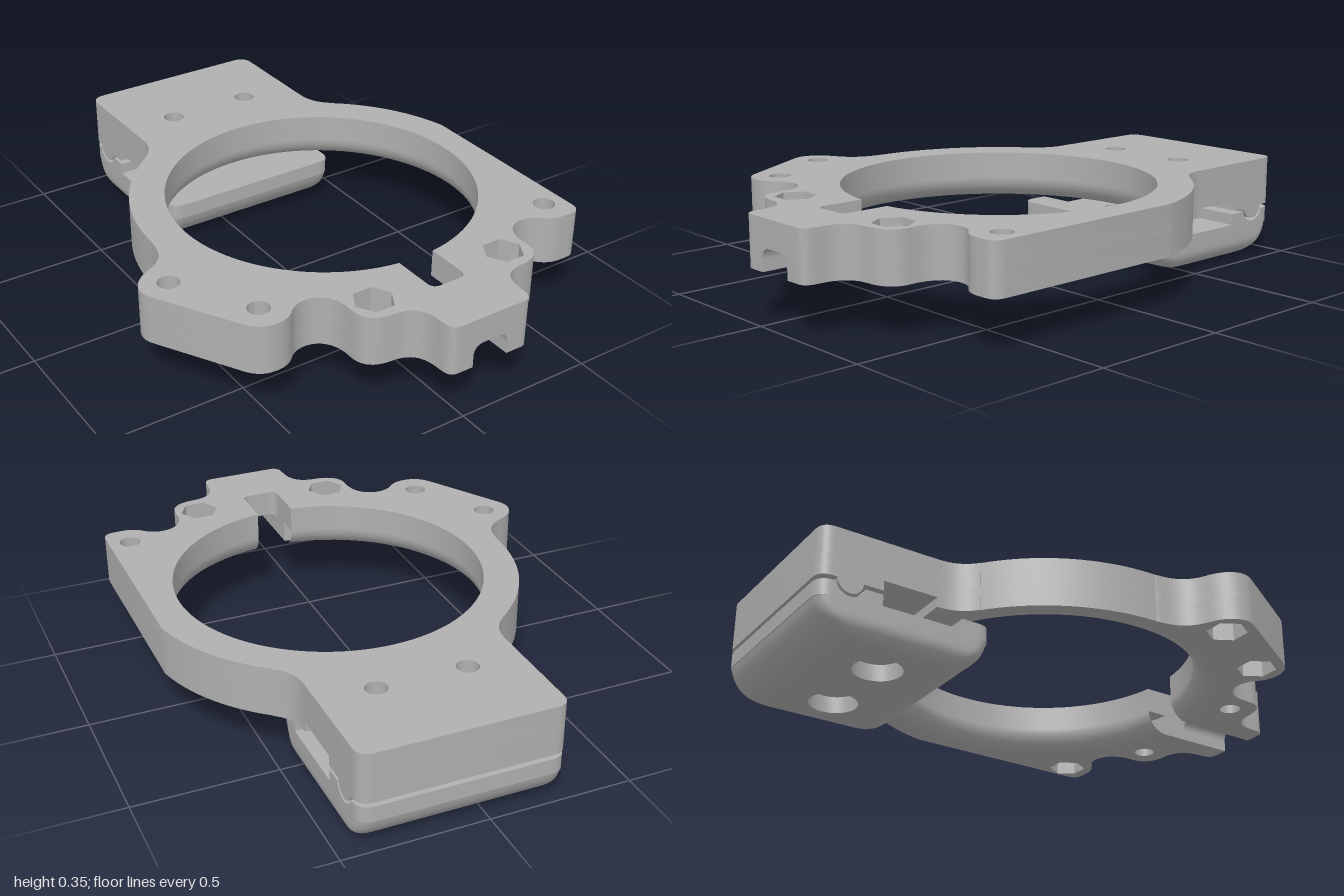
import * as THREE from 'three';
import { mergeGeometries, toCreasedNormals } from 'three/addons/utils/BufferGeometryUtils.js';
import { ParametricGeometry } from 'three/addons/geometries/ParametricGeometry.js';

const CX = 0.09, CZ = 0.075;            // ring centre
const BORE = 0.545, OUTER = 0.668, FILLET = 0.08;
const SLOT = 0.0675, SLOT_END = 0.79;
const TOP = 0.355, MID = 0.26, BASE = 0.18, CEIL = 0.215;
const HOLE = 0.038, HEX = 0.07, HALF = 0.35;
const NUT_TOP = [[-0.17, 0.74], [0.35, 0.74]];
const NUT_BASE = [[-0.65, 0.31], [-0.49, 0.585], [0.665, 0.585]];
const CLAMP = [[-0.07, -0.685], [0.245, -0.685]];

// Plan shapes are drawn in (x, z)
const trace = (draw) => { const p = new THREE.Path(); draw(p); return p.getPoints(10); };
const toSide = (pts, m) => pts.map((p) => new THREE.Vector2(CX + m * p.x, p.y));

function circle(shape, spots, r, sides = 32) {
  for (const [x, z] of spots) {
    const pts = [];
    for (let i = 0; i < sides; i++) {
      const a = (i / sides) * Math.PI * 2;
      pts.push(new THREE.Vector2(x + r * Math.cos(a), z + r * Math.sin(a)));
    }
    shape.holes.push(new THREE.Path(pts));
  }
}

const crease = (g) => toCreasedNormals(g, 0.5);

// Flat layer between two heights
function slab(shape, top, bottom) {
  const g = new THREE.ExtrudeGeometry(shape, { depth: top - bottom, bevelEnabled: false, curveSegments: 10 });
  return crease(g.rotateX(Math.PI / 2).translate(0, top, 0));
}

// Profile in (-z, y) swept across the clamp width
function sweep(shape) {
  const g = new THREE.ExtrudeGeometry(shape, { depth: HALF * 2, bevelEnabled: false, curveSegments: 16 });
  return crease(g.rotateY(Math.PI / 2).translate(CX - HALF, 0, 0));
}

// Rectangle across the clamp with rounded back (r0) and front (r1) corners
function bar(z0, z1, r0, r1, hx = HALF) {
  const s = new THREE.Shape(), a = CX - hx, b = CX + hx;
  s.moveTo(b, z0 + r0).lineTo(b, z1 - r1);
  s.quadraticCurveTo(b, z1, b - r1, z1).lineTo(a + r1, z1);
  s.quadraticCurveTo(a, z1, a, z1 - r1).lineTo(a, z0 + r0);
  s.quadraticCurveTo(a, z0, a + r0, z0).lineTo(b - r0, z0);
  s.quadraticCurveTo(b, z0, b, z0 + r0);
  return s;
}

// Ring outline from the right of the front tab, round the back, to its left
function outline(withTail) {
  const front = trace((p) => {
    p.moveTo(0.125, 1).quadraticCurveTo(0.155, 1, 0.158, 0.965);
    p.lineTo(0.16, 0.93).quadraticCurveTo(0.165, 0.842, 0.25, 0.838);
    p.quadraticCurveTo(0.35, 0.835, 0.35, 0.755).lineTo(0.35, 0.72);
    p.bezierCurveTo(0.36, 0.61, 0.46, 0.61, 0.5, 0.65);
    p.quadraticCurveTo(0.53, 0.685, 0.575, 0.685);
  });
  const rightCorner = trace((p) => {
    p.moveTo(0.61, 0.685).quadraticCurveTo(0.652, 0.685, 0.652, 0.64);
  });
  const shoulder = (end) => trace((p) => {
    if (withTail) p.moveTo(0.3, -1).quadraticCurveTo(HALF, -1, HALF, -0.95).lineTo(HALF, -0.58);
    else p.moveTo(HALF, -0.58);
    p.quadraticCurveTo(HALF, -0.5, 0.41, -0.455).absarc(0, CZ, OUTER, -0.912, end, false);
  });
  const ear = trace((p) => {
    p.moveTo(-0.579, 0.07).bezierCurveTo(-0.585, 0.16, -0.62, 0.19, -0.665, 0.212);
    p.bezierCurveTo(-0.735, 0.24, -0.77, 0.3, -0.735, 0.355);
    p.lineTo(-0.575, 0.635).quadraticCurveTo(-0.545, 0.685, -0.49, 0.685);
  });
  return [
    ...toSide(front, 1), ...toSide(rightCorner, 1), ...toSide(shoulder(-0.22), 1).reverse(),
    ...toSide(shoulder(-0.01), -1), ...ear, ...toSide(front, -1).reverse(),
  ];
}

// Bore circle, broken at the front slot
function bore(r) {
  const a = Math.asin(SLOT / r), pts = [];
  for (let i = 0; i <= 96; i++) {
    const t = Math.PI / 2 + a + (i / 96) * 2 * (Math.PI - a);
    pts.push(new THREE.Vector2(CX + r * Math.cos(t), CZ + r * Math.sin(t)));
  }
  return pts;
}

// Rounded lower edge of the bore
function boreFillet() {
  const g = new ParametricGeometry((u, v, out) => {
    const q = v * Math.PI / 2;
    const r = BORE + FILLET * (1 - Math.cos(q));
    const a = Math.asin(SLOT / r), t = a + u * 2 * (Math.PI - a);
    out.set(CX + r * Math.sin(t), MID - FILLET * Math.sin(q), CZ + r * Math.cos(t));
  }, 96, 8);
  return g;
}

// Clamp underside: stacked rounded rectangles
function clampShell(height) {
  const rings = [], n = 12, pos = [], idx = [];
  const inset = (r, y) => (y >= r ? 0 : r - Math.sqrt(r * r - (r - y) ** 2));
  for (let i = 0; i <= n; i++) {
    const y = height * (i / n) ** 2, iz = inset(0.14, y);
    const shape = bar(-1 + iz, -0.37 - iz, 0.055, 0.055, HALF - inset(0.06, y));
    rings.push(shape);
    for (const p of shape.getPoints(8)) pos.push(p.x, y, p.y);
  }
  const m = pos.length / 3 / (n + 1);
  for (let i = 0; i < n; i++) for (let j = 0; j < m - 1; j++) {
    const a = i * m + j, c = a + m;
    idx.push(a, c, a + 1, a + 1, c, c + 1);
  }
  const g = new THREE.BufferGeometry();
  g.setAttribute('position', new THREE.Float32BufferAttribute(pos, 3));
  g.setIndex(idx);
  return { wall: crease(g), foot: rings[0] };
}

export function createModel() {
  const model = new THREE.Group();
  const grey = new THREE.MeshStandardMaterial({ color: 0xb0b0b0 });
  grey.name = 'grey plastic';
  const add = (name, geometry, parent = model) => {
    const mesh = new THREE.Mesh(geometry, grey);
    mesh.name = name;
    parent.add(mesh);
  };

  // Upper half of the plate, with nut pockets in its top
  const plate = new THREE.Group();
  plate.name = 'ringPlate';
  model.add(plate);
  const upper = new THREE.Shape(outline(true));
  const slotEnd = trace((p) => {
    p.moveTo(SLOT, SLOT_END - 0.03).quadraticCurveTo(SLOT, SLOT_END, SLOT - 0.03, SLOT_END);
    p.lineTo(0.03 - SLOT, SLOT_END).quadraticCurveTo(-SLOT, SLOT_END, -SLOT, SLOT_END - 0.03);
  });
  upper.holes.push(new THREE.Path([...bore(BORE), ...toSide(slotEnd, 1)]));
  circle(upper, NUT_TOP, HEX, 6);
  circle(upper, [...NUT_BASE, ...CLAMP], HOLE);
  add('upperPlate', slab(upper, TOP, MID), plate);

  // Lower half, open at the front channel, with nut pockets underneath
  const lower = new THREE.Shape([
    new THREE.Vector2(CX + SLOT, 1), ...outline(false),
    new THREE.Vector2(CX - SLOT, 1), ...bore(BORE + FILLET),
  ]);
  circle(lower, NUT_BASE, HEX, 6);
  circle(lower, NUT_TOP, HOLE);
  add('lowerPlate', slab(lower, MID, BASE), plate);
  add('boreFillet', boreFillet(), plate);

  // Rounded roof corners of the front channel
  for (const m of [1, -1]) {
    const s = new THREE.Shape();
    s.moveTo(CX + m * SLOT, MID).lineTo(CX + m * (SLOT - 0.04), MID);
    s.quadraticCurveTo(CX + m * SLOT, MID, CX + m * SLOT, MID - 0.04);
    const g = new THREE.ExtrudeGeometry(s, { depth: 1 - SLOT_END, bevelEnabled: false });
    add('channelCorner', crease(g.translate(0, 0, SLOT_END)), plate);
  }

  // Tail underside: cable channel roof, rear pad and gripping rib
  const roof = bar(-1, -0.58, 0.05, 0);
  circle(roof, CLAMP, HOLE);
  add('cableRoof', slab(roof, MID, CEIL), plate);
  add('rearPad', slab(bar(-1, -0.775, 0.05, 0), CEIL, BASE), plate);
  add('gripRib', sweep(new THREE.Shape().absarc(0.89, BASE, 0.045, Math.PI, 2 * Math.PI, false)), plate);

  // Clamp block under the tail
  const clamp = new THREE.Group();
  clamp.name = 'cableClamp';
  model.add(clamp);
  const LOW = 0.11, FLOOR = 0.125, RIM = 0.165;
  const { wall, foot } = clampShell(LOW);
  circle(foot, CLAMP, 0.085);
  add('clampWall', wall, clamp);
  add('clampBottom', new THREE.ShapeGeometry(foot, 8).rotateX(Math.PI / 2), clamp);
  const floor = bar(-1, -0.37, 0.055, 0.055);
  circle(floor, CLAMP, HOLE);
  add('clampFloor', slab(floor, FLOOR, LOW), clamp);
  add('frontLip', slab(bar(-0.485, -0.37, 0, 0.055), RIM, FLOOR), clamp);
  add('rearLip', slab(bar(-1, -0.942, 0.055, 0), RIM, FLOOR), clamp);
  const groove = new THREE.Shape();
  groove.moveTo(0.775, 0.115).lineTo(0.775, RIM);
  groove.absarc(0.89, BASE, 0.055, Math.PI + 0.276, 2 * Math.PI - 0.276, false);
  groove.lineTo(0.943, 0.115);
  add('ribGroove', sweep(groove), clamp);

  // Counterbored screw holes
  const bores = CLAMP.map(([x, z]) => new THREE.LatheGeometry([
    new THREE.Vector2(HOLE, LOW), new THREE.Vector2(HOLE, 0.06),
    new THREE.Vector2(0.085, 0.06), new THREE.Vector2(0.085, 0),
  ], 32).translate(x, 0, z));
  add('screwBores', crease(mergeGeometries(bores)), clamp);
  return model;
}
